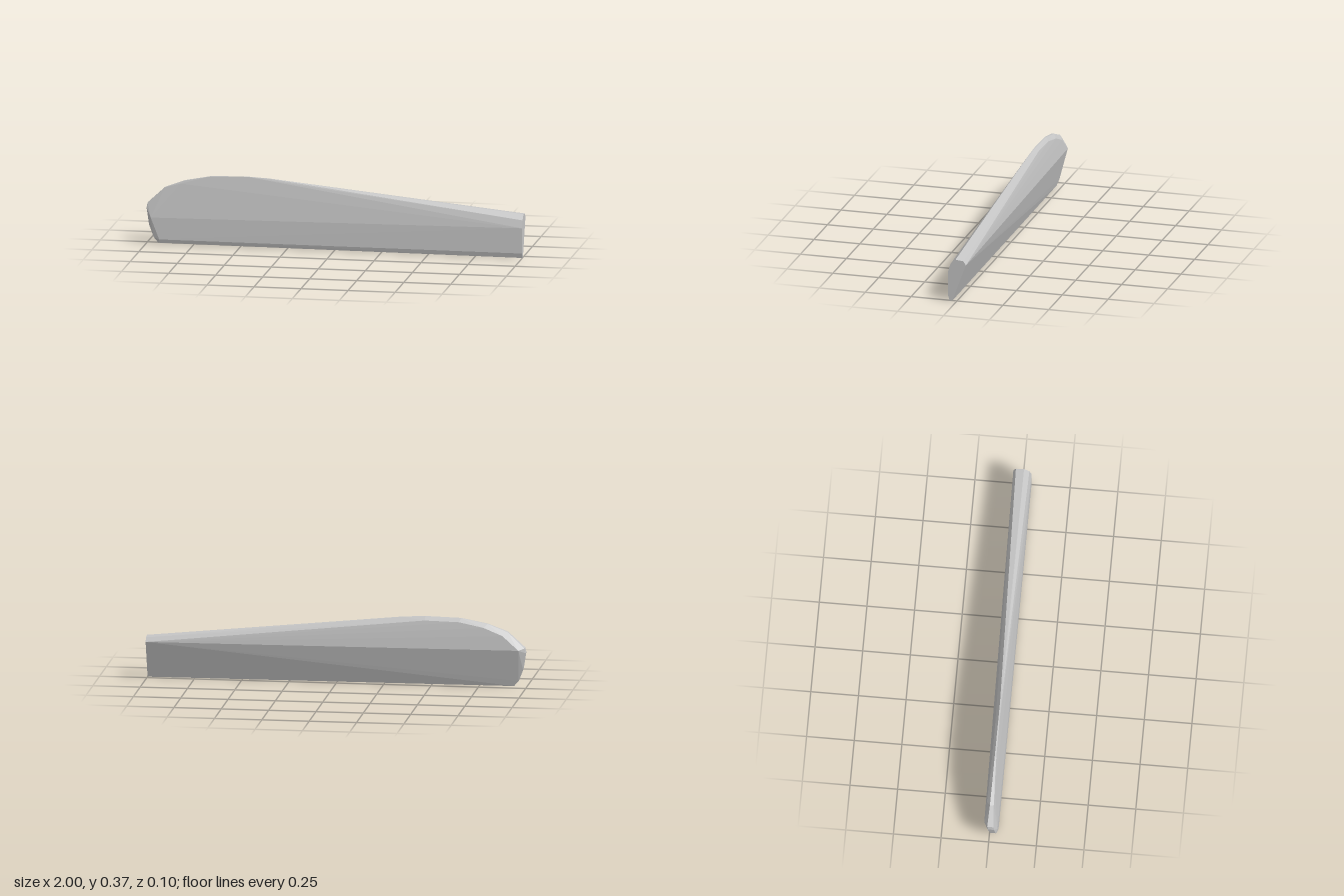
import * as THREE from 'three';
import { ConvexGeometry } from 'three/addons/geometries/ConvexGeometry.js';

export function createModel() {
  const group = new THREE.Group();
  group.name = 'blade';
  const grey = new THREE.MeshStandardMaterial({ color: 0xc8c8c8 });
  grey.name = 'light grey';
  const points = [];
  const add = (x, y, z) => points.push(new THREE.Vector3(x, y, z));

  // Flat root section [y, z] at the wide end
  [[0, 0.025], [0, 0.041], [0.025, 0.048], [0.16, 0.048], [0.2, 0.036],
    [0.227, 0.008], [0.222, -0.035], [0.2, -0.048]].forEach(([y, z]) => add(1, y, z));

  // Narrow rim around the rounded tip [x, y, front z, back z]
  [[-0.35, 0.364, 0.008, 0.002], [-0.47, 0.37, 0.009, 0.002], [-0.66, 0.365, 0.01, 0.001],
    [-0.8, 0.338, 0.014, 0], [-0.905, 0.298, 0.018, -0.002], [-0.995, 0.215, 0.025, -0.008],
    [-1, 0.19, 0.028, -0.006], [-0.985, 0.1, 0.036, 0.006], [-0.96, 0.035, 0.038, 0.018],
    [-0.935, 0.006, 0.04, 0.026]].forEach(([x, y, front, back]) => {
    add(x, y, front);
    add(x, y, back);
  });

  // Inset bevel on the back [x, y, z]
  [[-0.47, 0.35, -0.013], [-0.65, 0.346, -0.013], [-0.78, 0.32, -0.016],
    [-0.88, 0.28, -0.02], [-0.965, 0.205, -0.026]].forEach((p) => add(...p));

  // Front ridge and lower bevel at the tip
  [[-0.975, 0.14, 0.044], [-0.93, 0.025, 0.046], [-0.82, 0.322, 0.018]].forEach((p) => add(...p));

  const blade = new THREE.Mesh(new ConvexGeometry(points), grey);
  blade.name = 'bladeBody';
  group.add(blade);
  return group;
}
